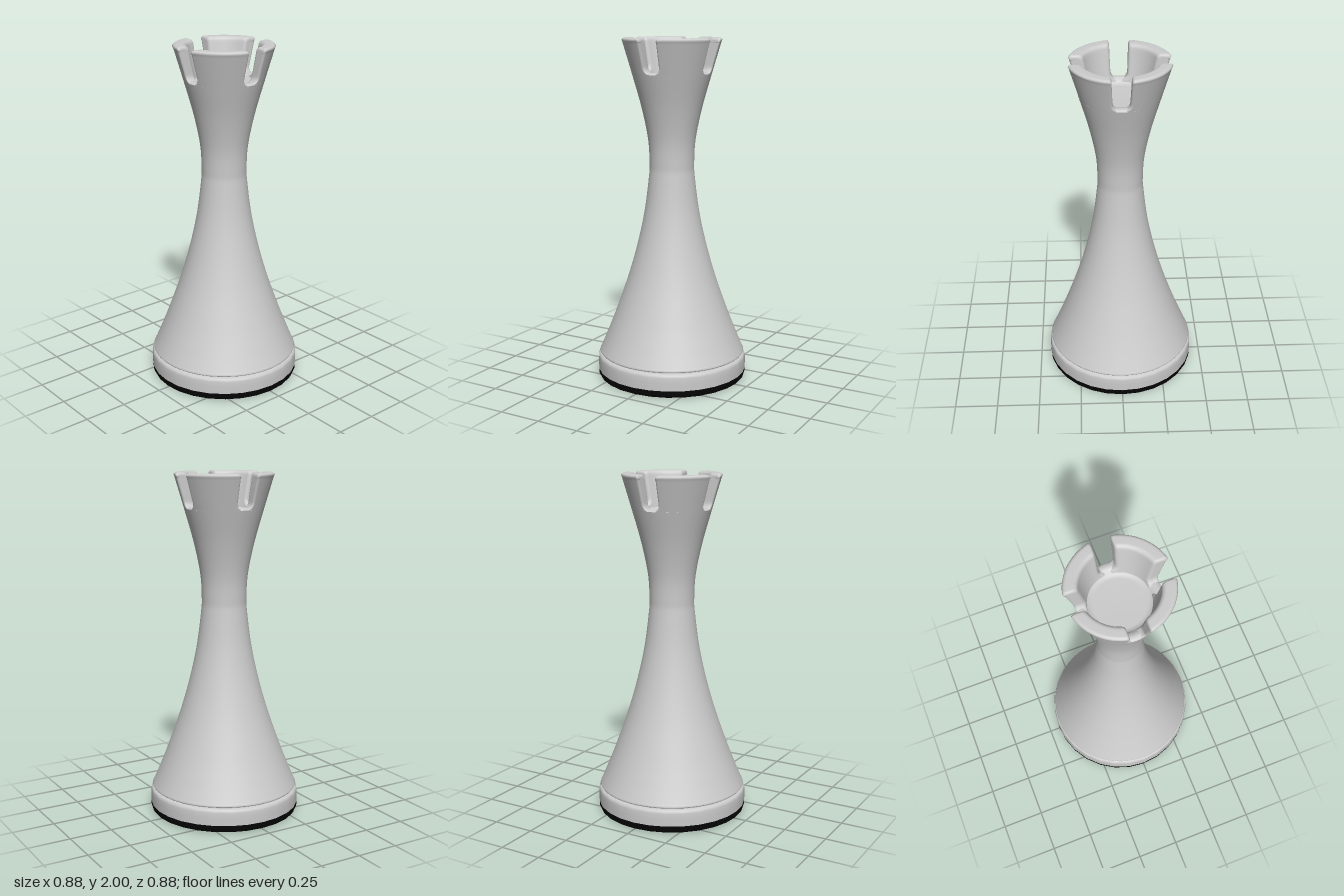
import * as THREE from 'three';

const TOP = 2, FOOT = 1.78, ROUND = 0.014;

// Flared body outline: radius against height
const outline = new THREE.SplineCurve([
  [0.425, 0.165], [0.385, 0.26], [0.33, 0.4], [0.26, 0.6], [0.203, 0.8], [0.16, 1.0], [0.134, 1.2],
  [0.13, 1.28], [0.138, 1.42], [0.174, 1.6], [0.23, 1.8], [0.289, 2.0],
].map(([r, y]) => new THREE.Vector2(r, y)));
const outlinePoints = outline.getPoints(110);

function outerRadius(y) {
  const i = Math.max(1, outlinePoints.findIndex((p) => p.y >= y - 1e-6));
  const a = outlinePoints[i - 1], b = outlinePoints[i];
  return THREE.MathUtils.mapLinear(y, a.y, b.y, a.x, b.x);
}
const innerRadius = (y) => THREE.MathUtils.mapLinear(y, FOOT, TOP, 0.168, 0.213);

// Half width of the slot between merlons, rounded at its floor
function slotHalfWidth(y) {
  const k = THREE.MathUtils.clamp((1.838 - y) / 0.038, 0, 1);
  return 0.046 + 0.008 * (y - 1.8) / 0.2 - 0.036 * (1 - Math.sqrt(1 - k * k));
}

// Closed-over section of a merlon, shrunk by d: outer wall, rounded top, inner wall
function merlonSection(d) {
  const pts = [], rows = 14, c = 0.02;
  for (let i = 0; i <= rows; i++) {
    const y = FOOT + (TOP - c - FOOT) * i / rows;
    pts.push([outerRadius(y) - d, y]);
  }
  for (let i = 1; i <= 4; i++) {
    const a = i / 4 * Math.PI / 2;
    pts.push([outerRadius(TOP) - d - c * (1 - Math.cos(a)), TOP - d - c * (1 - Math.sin(a))]);
  }
  const inner = pts.map(([r, y], i) => {
    const round = i > rows ? c * (1 - Math.cos((i - rows) / 4 * Math.PI / 2)) : 0;
    return [innerRadius(y) + d + round, y];
  });
  return pts.concat(inner.reverse());
}

function merlonGeometry() {
  // Stations along the arc, with rounded ends
  const stations = [];
  for (let i = 0; i <= 4; i++) {
    const a = i / 4 * Math.PI / 2;
    stations.push({ t: 0, inset: ROUND * (1 - Math.sin(a)), d: ROUND * (1 - Math.cos(a)) });
  }
  stations.reverse();
  for (let i = 1; i < 12; i++) stations.push({ t: i / 12, inset: ROUND, d: 0 });
  for (let i = 4; i >= 0; i--) stations.push({ ...stations[i], t: 1 });
  stations.forEach((s, i) => { if (i > 15) Object.assign(s, { ...stations[stations.length - 1 - i], t: 1 }); });

  const pos = [], index = [];
  const addSection = (s) => {
    const start = pos.length / 3;
    for (const [r, y] of merlonSection(s.d)) {
      const a0 = Math.asin((slotHalfWidth(y) + s.inset) / r);
      const a = a0 + (Math.PI / 2 - 2 * a0) * s.t;
      pos.push(r * Math.cos(a), y, r * Math.sin(a));
    }
    return start;
  };
  const n = merlonSection(0).length;
  const starts = stations.map(addSection);
  for (let i = 1; i < starts.length; i++) {
    for (let j = 0; j < n - 1; j++) {
      const a = starts[i - 1] + j, b = starts[i] + j;
      index.push(a, a + 1, b, b, a + 1, b + 1);
    }
  }
  // Flat end walls facing the slots
  [stations[0], stations[stations.length - 1]].forEach((s, end) => {
    const o = addSection(s);
    for (let j = 0; j < n / 2 - 1; j++) {
      const a = o + j, b = a + 1, c = o + n - 1 - j, d = c - 1;
      if (end) index.push(a, b, c, b, d, c);
      else index.push(a, c, b, b, c, d);
    }
  });
  const g = new THREE.BufferGeometry();
  g.setAttribute('position', new THREE.Float32BufferAttribute(pos, 3));
  g.setIndex(index);
  g.computeVertexNormals();
  return g;
}

export function createModel() {
  const grey = new THREE.MeshStandardMaterial({ color: 0xcccccc });
  grey.name = 'lightGrey';
  const black = new THREE.MeshStandardMaterial({ color: 0x050505 });
  black.name = 'black';
  const model = new THREE.Group();
  model.name = 'rook';

  const add = (name, geometry, material) => {
    const mesh = new THREE.Mesh(geometry, material);
    mesh.name = name;
    model.add(mesh);
    return mesh;
  };
  const lathe = (name, pts, material, sides = 56) =>
    add(name, new THREE.LatheGeometry(pts.map(([x, y]) => new THREE.Vector2(x, y)), sides), material);

  // Felt pad: underside and dark rim
  lathe('padUnderside', [[0, 0], [0.42, 0]], black, 28);
  lathe('padRim', [[0.42, 0], [0.432, 0.006], [0.439, 0.02], [0.44, 0.045]], black, 28);

  // Base ring, with a groove below the body
  lathe('baseRing', [[0.44, 0.045], [0.441, 0.09], [0.44, 0.12], [0.437, 0.134], [0.428, 0.14], [0.415, 0.142]], grey, 28);
  lathe('groove', [[0.415, 0.142], [0.415, 0.148]], grey, 28);

  // Flared body up to the slot floor
  const side = outlinePoints.filter((p) => p.y < 1.798).map((p) => [p.x, p.y]);
  lathe('body', [[0.415, 0.148], [0.427, 0.15], [0.43, 0.156], ...side, [outerRadius(1.798), 1.798]], grey);

  // Slot floor dipping into the shallow well
  lathe('crownFloor', [[outerRadius(1.798), 1.798], [0.222, 1.806], [0.205, 1.809], [0.188, 1.806],
    [0.172, 1.792], [0.16, 1.782], [0.14, 1.778], [0, 1.777]], grey);

  // Four merlons
  const merlon = merlonGeometry();
  for (let i = 0; i < 4; i++) add('merlon' + (i + 1), merlon, grey).rotation.y = i * Math.PI / 2;

  return model;
}
